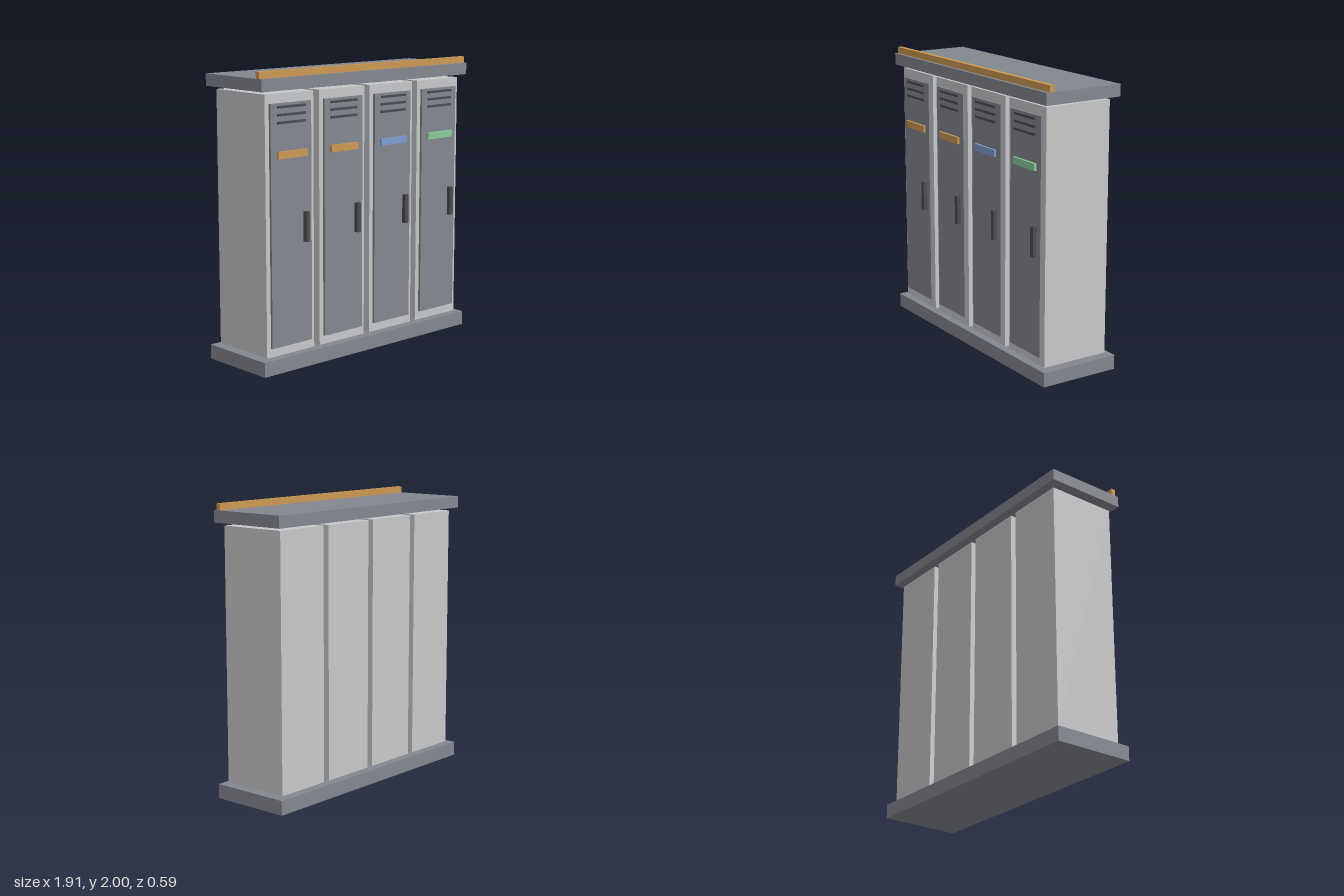
import * as THREE from 'three';

const mat = (name, color) => {
  const m = new THREE.MeshStandardMaterial({ color });
  m.name = name;
  return m;
};

// Box given by its centre x, width, and y and z ranges
function box(parent, name, material, x, width, [y0, y1], [z0, z1]) {
  const mesh = new THREE.Mesh(new THREE.BoxGeometry(width, y1 - y0, z1 - z0), material);
  mesh.position.set(x, (y0 + y1) / 2, (z0 + z1) / 2);
  mesh.name = name;
  parent.add(mesh);
  return mesh;
}

export function createModel() {
  const slate = mat('slate', 0x84878f);
  const shell = mat('light grey', 0xc7c8ca);
  const dark = mat('dark grey', 0x4b4c51);
  const orange = mat('orange', 0xcc9852);
  const blue = mat('blue', 0x7f9ccf);
  const green = mat('green', 0x88cc99);

  const model = new THREE.Group();
  model.name = 'lockerBank';

  // Plinth, top slab and the accent strip along its front
  const slabZ = [-0.294, 0.288];
  box(model, 'plinth', slate, 0, 1.91, [0, 0.1], slabZ);
  box(model, 'topSlab', slate, 0, 1.91, [1.873, 1.955], slabZ);
  box(model, 'accentStrip', orange, 0, 1.91, [1.955, 2], [0.23, 0.263]);

  // Four lockers that differ only in the colour of the name plate
  [orange, orange, blue, green].forEach((plateColor, i) => {
    const locker = new THREE.Group();
    locker.name = `locker${i + 1}`;
    locker.position.x = (i - 1.5) * 0.463;
    model.add(locker);

    box(locker, 'body', shell, 0, 0.413, [0.11, 1.852], [-0.251, 0.248]);
    box(locker, 'door', slate, 0, 0.346, [0.172, 1.79], [0.248, 0.265]);
    box(locker, 'namePlate', plateColor, 0, 0.246, [1.43, 1.478], [0.265, 0.282]);
    box(locker, 'handle', dark, 0.117, 0.033, [0.857, 1.061], [0.265, 0.294]);
    // Vent slats
    for (let v = 0; v < 3; v++) {
      const y = 1.664 + v * 0.051;
      box(locker, 'ventSlat', dark, 0, 0.235, [y - 0.008, y + 0.008], [0.265, 0.276]);
    }
  });
  return model;
}
